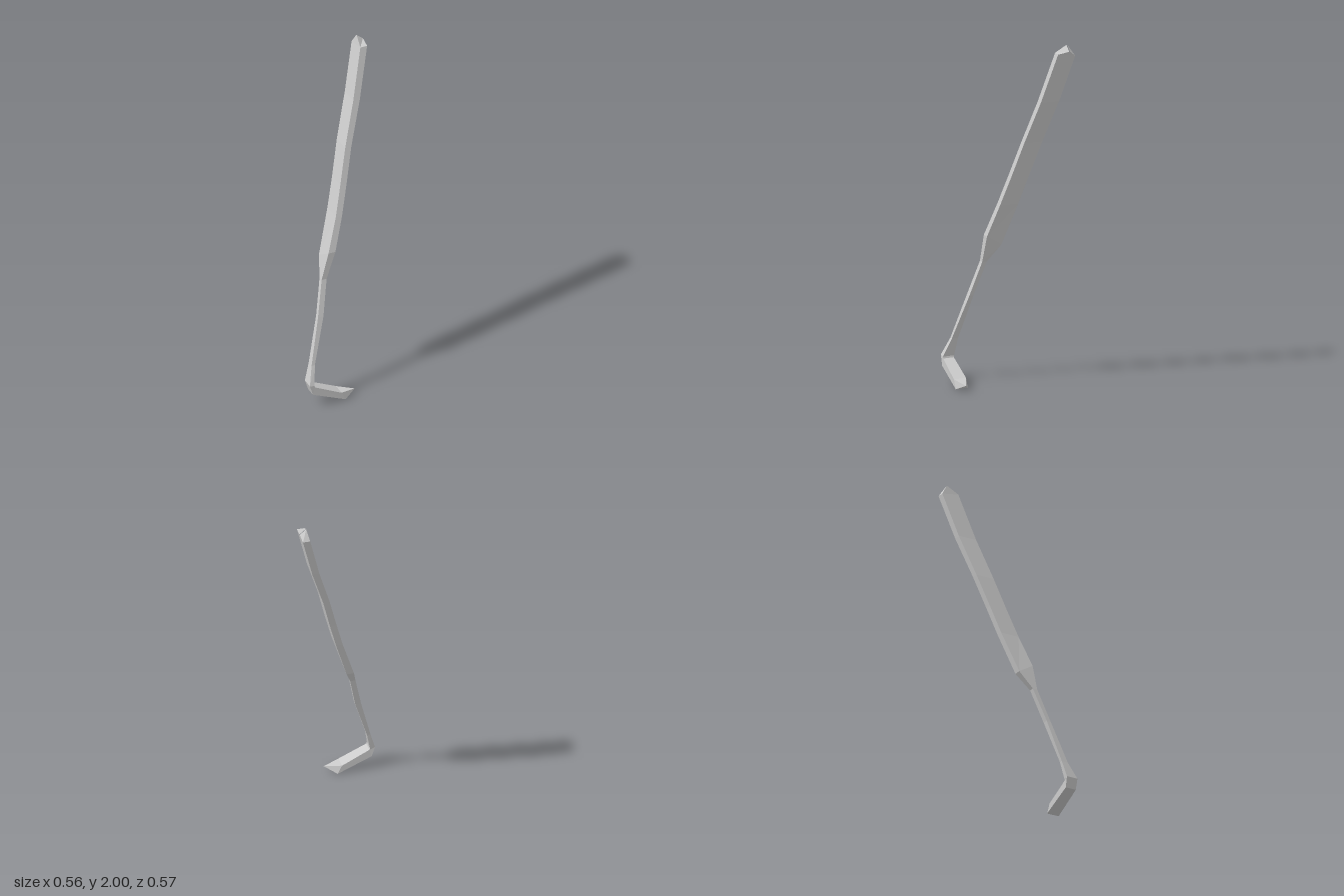
import * as THREE from 'three';

// Four-sided section: outer x, y, inner x, y, back z, front z, drop of the back edge
const section = ([xo, yo, xi, yi, zb, zf, drop = 0]) => {
  const dx = drop / 4;
  return [
    [xo - dx, yo - drop, zb], [xo, yo, zf],
    [xi, yi, zf], [xi - dx, yi - drop, zb],
  ];
};

// Skin a run of sections with flat faces
function loft(name, rows, material) {
  const index = [];
  for (let i = 0; i < rows.length - 1; i++) {
    for (let k = 0; k < 4; k++) {
      const a = i * 4 + k, b = i * 4 + (k + 1) % 4;
      index.push(a, a + 4, b, b, a + 4, b + 4);
    }
  }
  const indexed = new THREE.BufferGeometry();
  indexed.setAttribute('position', new THREE.Float32BufferAttribute(rows.map(section).flat(2), 3));
  indexed.setIndex(index);
  const geometry = indexed.toNonIndexed();
  geometry.computeVertexNormals();
  const mesh = new THREE.Mesh(geometry, material);
  mesh.name = name;
  return mesh;
}

export function createModel() {
  const group = new THREE.Group();
  group.name = 'hookedTool';
  const material = new THREE.MeshStandardMaterial({ color: 0xcccccc, flatShading: true });

  const neck = [-0.13, 0.70, -0.10, 0.70, 0.08, 0.108];
  const elbow = [-0.278, 0.14, -0.25, 0.135, 0.21, 0.277];

  // Flat grip with a ridged top, narrowing to the neck
  const handle = [
    [0.243, 2.0, 0.28, 1.97, -0.25, -0.245],
    [0.235, 1.96, 0.276, 1.96, -0.285, -0.18, 0.02],
    [0.16, 1.67, 0.2, 1.67, -0.221, -0.11],
    [0.082, 1.42, 0.119, 1.42, -0.155, -0.045],
    [0.028, 1.22, 0.066, 1.22, -0.10, 0.008],
    [-0.02, 1.05, 0.018, 1.05, -0.057, 0.054],
    [-0.087, 0.86, -0.045, 0.86, 0.01, 0.104, 0.06],
    neck,
  ];

  // Thin rod from the neck to the bend
  const shank = [
    neck,
    [-0.178, 0.50, -0.145, 0.50, 0.14, 0.165],
    [-0.248, 0.24, -0.228, 0.24, 0.195, 0.233],
    elbow,
  ];

  // Pointed blade turned sideways at the bend
  const blade = [
    elbow,
    [-0.26, 0.08, -0.247, 0.125, 0.213, 0.277],
    [-0.065, 0.0, -0.09, 0.05, 0.21, 0.283],
    [0.003, 0.035, 0.003, 0.035, 0.253, 0.253],
  ];

  group.add(
    loft('handle', handle, material),
    loft('shank', shank, material),
    loft('blade', blade, material),
  );
  return group;
}
